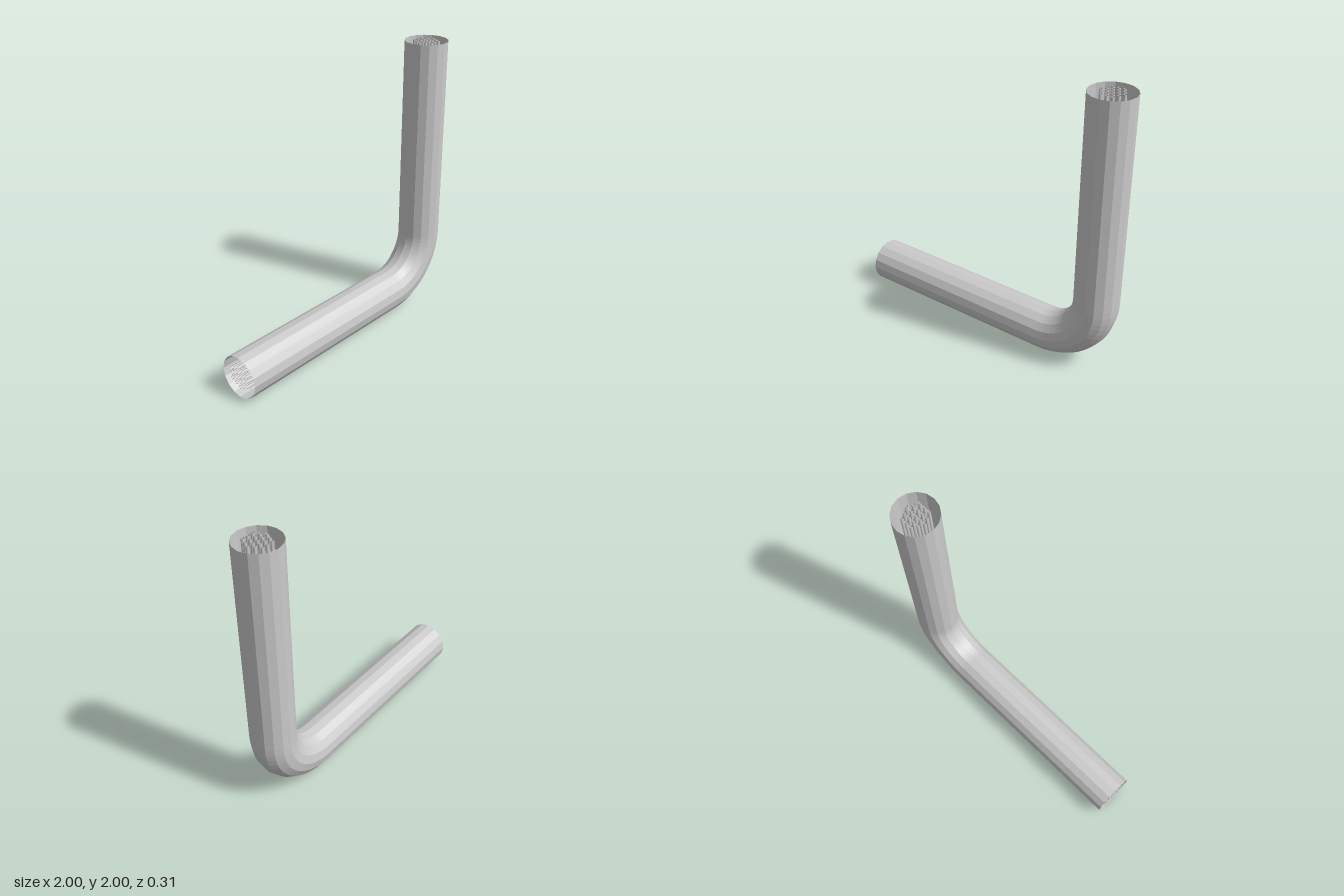
import * as THREE from 'three';

const PIPE_R = 0.153;   // casing radius
const BEND_R = 0.385;   // centreline radius of the elbow
const CX = 1 - PIPE_R - BEND_R, CY = PIPE_R + BEND_R; // elbow centre

// Stations along the run: [x, y, angle] of the elbow centre slid along the straights
function stations(bendSteps) {
  const list = [[-1, CY, 0]];
  for (let i = 0; i <= bendSteps; i++) list.push([CX, CY, (i / bendSteps) * Math.PI / 2]);
  list.push([CX, 2, Math.PI / 2]);
  return list;
}

// Open tube swept along the run, shifted by u (in the bend plane) and v (along z)
function sweep(radius, sides, bendSteps, u = 0, v = 0) {
  const path = stations(bendSteps), pos = [], index = [];
  path.forEach(([x, y, a], i) => {
    for (let j = 0; j < sides; j++) {
      const p = (j / sides) * Math.PI * 2;
      const r = BEND_R + u + radius * Math.cos(p);
      pos.push(x + Math.sin(a) * r, y - Math.cos(a) * r, v + radius * Math.sin(p));
      if (i < path.length - 1) {
        const k = (j + 1) % sides, s = i * sides, t = s + sides;
        index.push(s + j, t + j, t + k, s + j, t + k, s + k);
      }
    }
  });
  const g = new THREE.BufferGeometry();
  g.setAttribute('position', new THREE.Float32BufferAttribute(pos, 3));
  g.setIndex(index);
  return g;
}

export function createModel() {
  const model = new THREE.Group();
  model.name = 'bentConduit';

  // Faceted outer casing, open at both ends
  const casingGeo = sweep(PIPE_R, 16, 16).toNonIndexed();
  casingGeo.computeVertexNormals();
  const casing = new THREE.Mesh(casingGeo, new THREE.MeshStandardMaterial({
    color: 0xcccccc, flatShading: true, side: THREE.DoubleSide }));
  casing.name = 'casing';
  model.add(casing);

  // Hexagonal bundle of 19 thin wires running through the casing
  const wires = new THREE.Group();
  wires.name = 'wireBundle';
  const wireMat = new THREE.MeshStandardMaterial({ color: 0xcccccc, side: THREE.DoubleSide });
  const pitch = 0.039;
  for (let row = -2; row <= 2; row++) {
    const count = 5 - Math.abs(row);
    for (let c = 0; c < count; c++) {
      const geo = sweep(0.011, 8, 16, (c - (count - 1) / 2) * pitch, row * pitch * 0.93);
      geo.computeVertexNormals();
      const wire = new THREE.Mesh(geo, wireMat);
      wire.name = 'wire';
      wires.add(wire);
    }
  }
  model.add(wires);
  return model;
}
